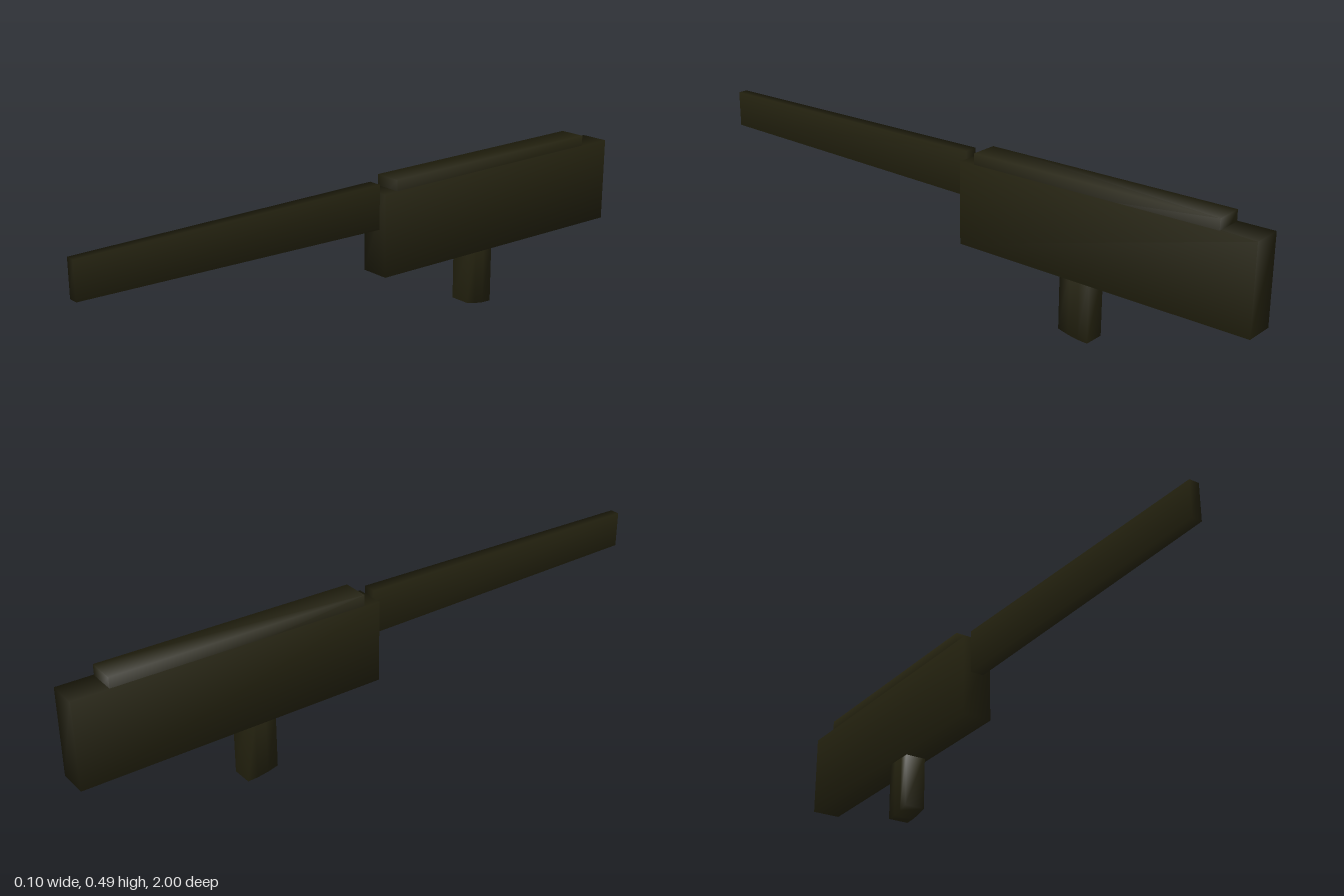
import * as THREE from 'three';
import { mergeVertices } from 'three/addons/utils/BufferGeometryUtils.js';

const olive = new THREE.MeshStandardMaterial({ color: 0x24220f });
olive.name = 'darkOlive';

// Box with shared corners, so its shading is smooth; move(p) places each corner of the unit cube
function softBox(name, move, depthSegments = 1) {
  const geo = new THREE.BoxGeometry(1, 1, 1, 1, 1, depthSegments);
  geo.deleteAttribute('normal');
  geo.deleteAttribute('uv');
  const merged = mergeVertices(geo);
  const pos = merged.attributes.position;
  const p = new THREE.Vector3();
  for (let i = 0; i < pos.count; i++) {
    move(p.fromBufferAttribute(pos, i));
    pos.setXYZ(i, p.x, p.y, p.z);
  }
  merged.computeVertexNormals();
  const mesh = new THREE.Mesh(merged, olive);
  mesh.name = name;
  return mesh;
}

// Bar along z between two end sections { z, w (half width), y0, y1 }
function bar(name, front, back) {
  return softBox(name, (p) => {
    const end = p.z > 0 ? front : back;
    p.set(Math.sign(p.x) * end.w, p.y > 0 ? end.y1 : end.y0, end.z);
  });
}

export function createModel() {
  const group = new THREE.Group();
  group.name = 'model';

  // Main housing
  group.add(bar('housing',
    { z: -0.015, w: 0.048, y0: 0.19, y1: 0.451 },
    { z: -1, w: 0.048, y0: 0.183, y1: 0.457 }));

  // Raised cover on top of the housing
  group.add(bar('topCover',
    { z: -0.065, w: 0.044, y0: 0.4, y1: 0.486 },
    { z: -0.887, w: 0.044, y0: 0.4, y1: 0.49 }));

  // Long tapered bar at the front
  group.add(bar('frontBar',
    { z: 1, w: 0.016, y0: 0.35, y1: 0.465 },
    { z: -0.015, w: 0.022, y0: 0.336, y1: 0.476 }));

  // Post below, with a bottom curving down towards the back
  group.add(softBox('lowerPost', (p) => {
    const t = 0.5 - p.z;
    const bottom = 0.016 * (1 - t) * (1 - t);
    p.set(Math.sign(p.x) * 0.034, p.y > 0 ? 0.2 : bottom, -0.377 - 0.103 * t);
  }, 3));

  return group;
}
